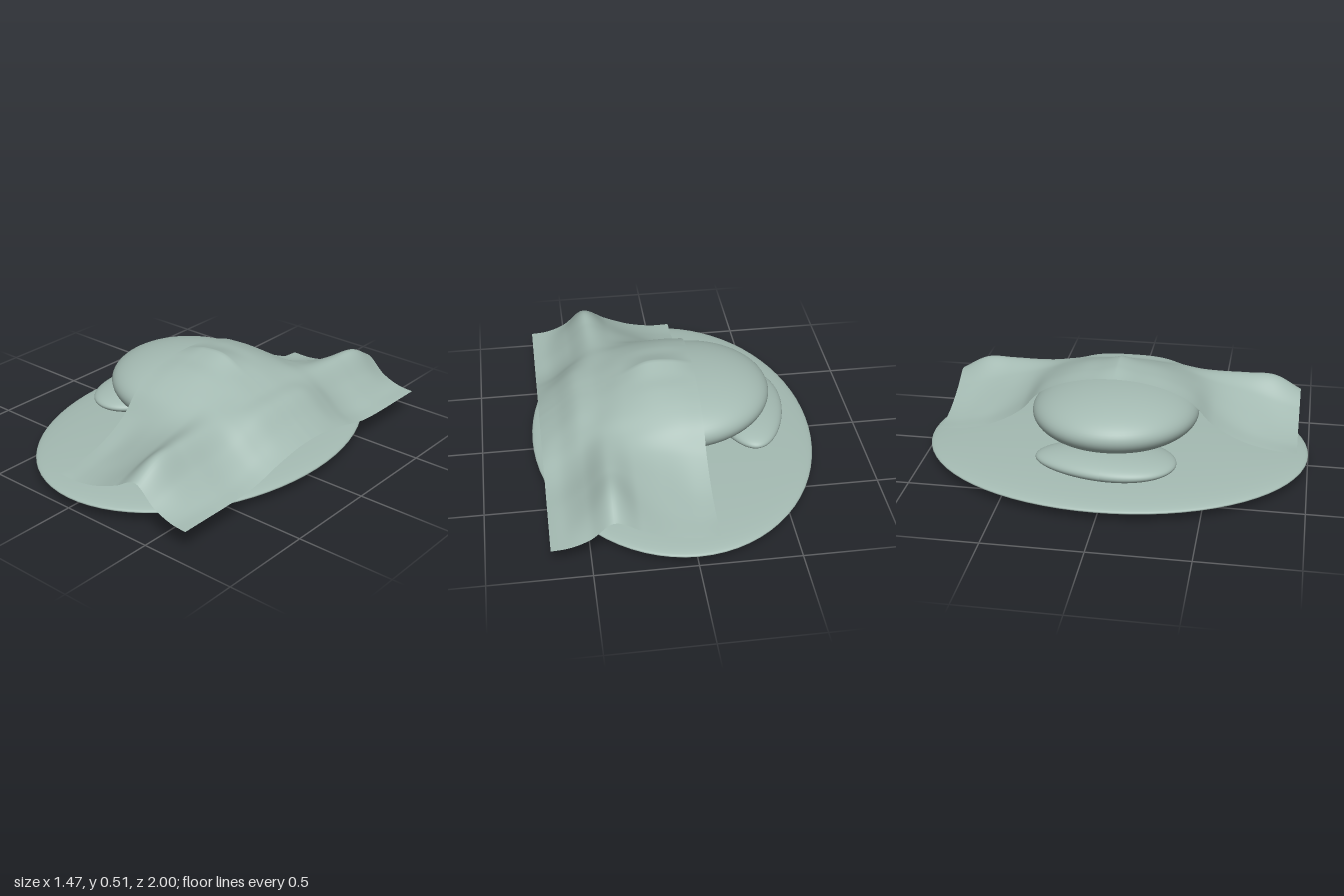
import * as THREE from 'three';

const sage = new THREE.MeshStandardMaterial({ color: 0xa4bab2, side: THREE.DoubleSide });
sage.name = 'sage';

// Cloth heights: one row per distance from the middle, one column per x station
const XS = [-0.11, 0, 0.13, 0.26, 0.39, 0.5, 0.6, 0.69];
const ZS = [0, 0.1, 0.2, 0.3, 0.4, 0.5, 0.65, 0.8, 0.94];
const HEIGHTS = [
  [0.472, 0.5, 0.5, 0.435, 0.375, 0.35, 0.27, 0.205],
  [0.467, 0.475, 0.47, 0.43, 0.373, 0.348, 0.265, 0.2],
  [0.45, 0.458, 0.45, 0.415, 0.365, 0.335, 0.25, 0.185],
  [0.42, 0.425, 0.415, 0.39, 0.355, 0.3, 0.215, 0.165],
  [0.365, 0.37, 0.365, 0.352, 0.34, 0.255, 0.175, 0.14],
  [0.26, 0.275, 0.3, 0.32, 0.335, 0.235, 0.155, 0.125],
  [0.175, 0.19, 0.235, 0.285, 0.335, 0.23, 0.15, 0.12],
  [0.135, 0.145, 0.18, 0.24, 0.33, 0.215, 0.14, 0.12],
  [0.12, 0.12, 0.145, 0.195, 0.255, 0.17, 0.13, 0.12],
];

// Smooth curve through unevenly spaced stations
function smoothAt(stations, values, t) {
  const last = stations.length - 1;
  let i = 0;
  while (i < last - 1 && t > stations[i + 1]) i++;
  const slope = (k) => {
    const a = Math.max(k - 1, 0), b = Math.min(k + 1, last);
    return (values[b] - values[a]) / (stations[b] - stations[a]);
  };
  const d = stations[i + 1] - stations[i];
  const u = (t - stations[i]) / d, u2 = u * u, u3 = u2 * u;
  return (2 * u3 - 3 * u2 + 1) * values[i] + (u3 - 2 * u2 + u) * d * slope(i)
    + (3 * u2 - 2 * u3) * values[i + 1] + (u3 - u2) * d * slope(i + 1);
}

function ellipsoid(name, radii, centre) {
  const geometry = new THREE.SphereGeometry(1, 72, 40);
  geometry.scale(...radii);
  const mesh = new THREE.Mesh(geometry, sage);
  mesh.name = name;
  mesh.position.set(...centre);
  return mesh;
}

// Draped sheet: a flat grid lifted to the interpolated heights
function drapedCloth() {
  const geometry = new THREE.PlaneGeometry(0.8, 1.88, 64, 128);
  geometry.rotateX(-Math.PI / 2);
  geometry.translate(0.29, 0, 0);
  const p = geometry.attributes.position;
  for (let i = 0; i < p.count; i++) {
    const x = p.getX(i), z = Math.abs(p.getZ(i));
    const column = HEIGHTS.map((row) => smoothAt(XS, row, x));
    p.setY(i, smoothAt(ZS, column, z));
  }
  geometry.computeVertexNormals();
  const mesh = new THREE.Mesh(geometry, sage);
  mesh.name = 'drapedCloth';
  return mesh;
}

export function createModel() {
  const model = new THREE.Group();
  model.name = 'drapedCushion';

  model.add(ellipsoid('baseDisc', [0.735, 0.0575, 1], [0, 0.0575, 0]));

  const body = ellipsoid('roundBody', [0.45, 0.16, 0.43], [-0.06, 0.29, 0]);
  body.rotation.z = -0.05;
  model.add(body);

  // Side cushion, slimmer toward the back
  const cushion = ellipsoid('sideCushion', [0.195, 0.065, 0.355], [-0.4, 0.165, 0]);
  const p = cushion.geometry.attributes.position;
  for (let i = 0; i < p.count; i++) {
    p.setX(i, p.getX(i) * (1 + 0.55 * p.getZ(i)));
  }
  cushion.geometry.computeVertexNormals();
  model.add(cushion);

  // Small support under the body
  model.add(ellipsoid('support', [0.12, 0.03, 0.12], [0.05, 0.11, 0]));

  model.add(drapedCloth());
  return model;
}
